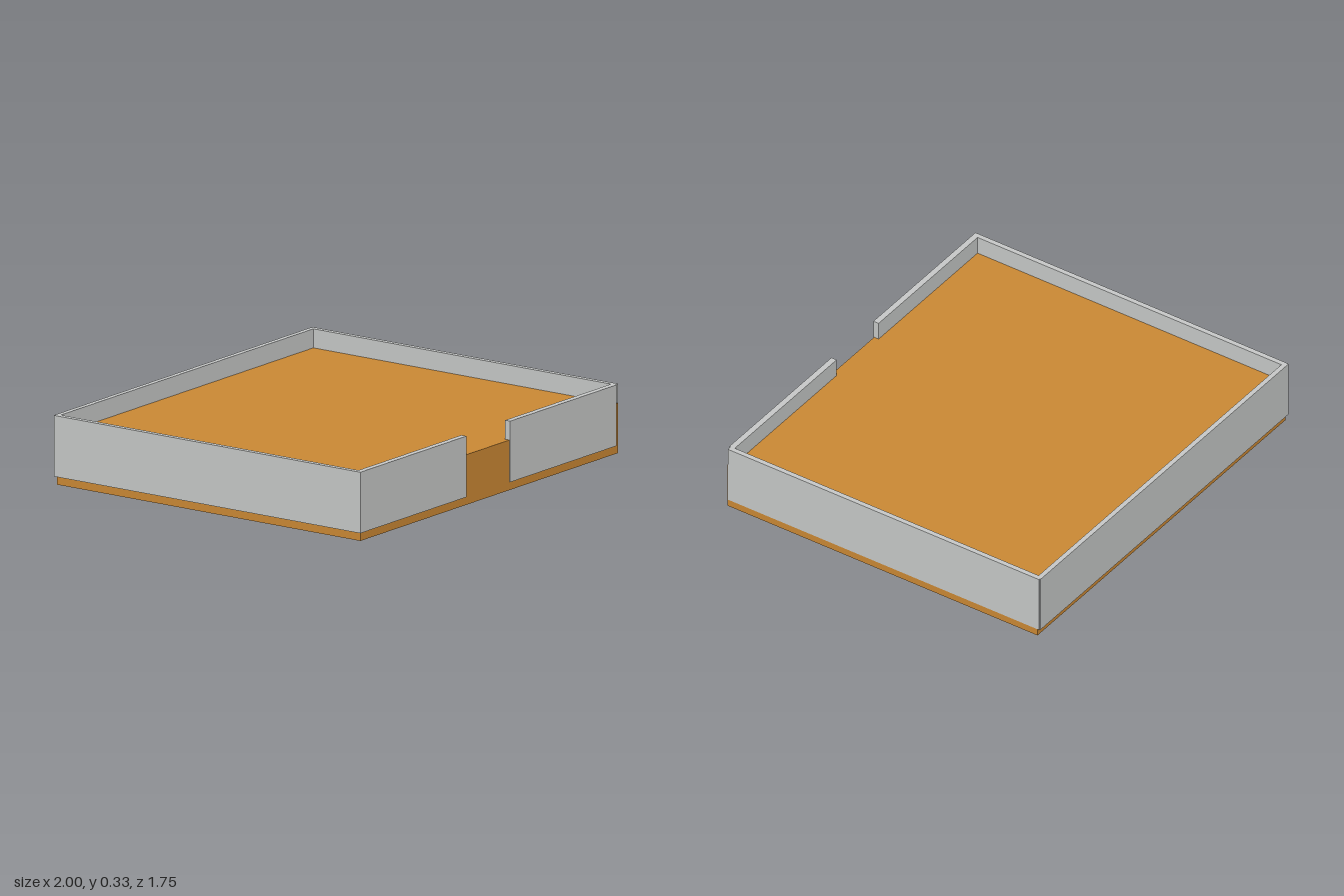
import * as THREE from 'three';

export function createModel() {
  const group = new THREE.Group();
  const wood = new THREE.MeshStandardMaterial({ color: 0xca8834 });
  wood.name = 'warm wood';
  const grey = new THREE.MeshStandardMaterial({ color: 0xc6c8c7 });
  grey.name = 'light grey';

  // Box given by its lower and upper corners
  function block(name, material, [x0, y0, z0], [x1, y1, z1]) {
    const mesh = new THREE.Mesh(new THREE.BoxGeometry(x1 - x0, y1 - y0, z1 - z0), material);
    mesh.position.set((x0 + x1) / 2, (y0 + y1) / 2, (z0 + z1) / 2);
    mesh.name = name;
    group.add(mesh);
  }

  // Thick floor slab, nearly reaching the outer wall faces
  block('floorSlab', wood, [-0.994, 0, -0.859], [0.997, 0.237, 0.87]);

  // Parapet walls, raised above the ground, with a doorway in the front
  const bottom = 0.038, top = 0.327;
  const wall = (name, x0, x1, z0, z1) => block(name, grey, [x0, bottom, z0], [x1, top, z1]);
  wall('rightWall', -1, -0.975, -0.87, 0.868);
  wall('leftWall', 0.975, 1, -0.87, 0.867);
  wall('backWall', -0.997, 0.993, -0.874, -0.85);
  wall('frontWallRight', -1, -0.18, 0.845, 0.874);
  wall('frontWallLeft', 0.157, 0.977, 0.845, 0.874);

  return group;
}
